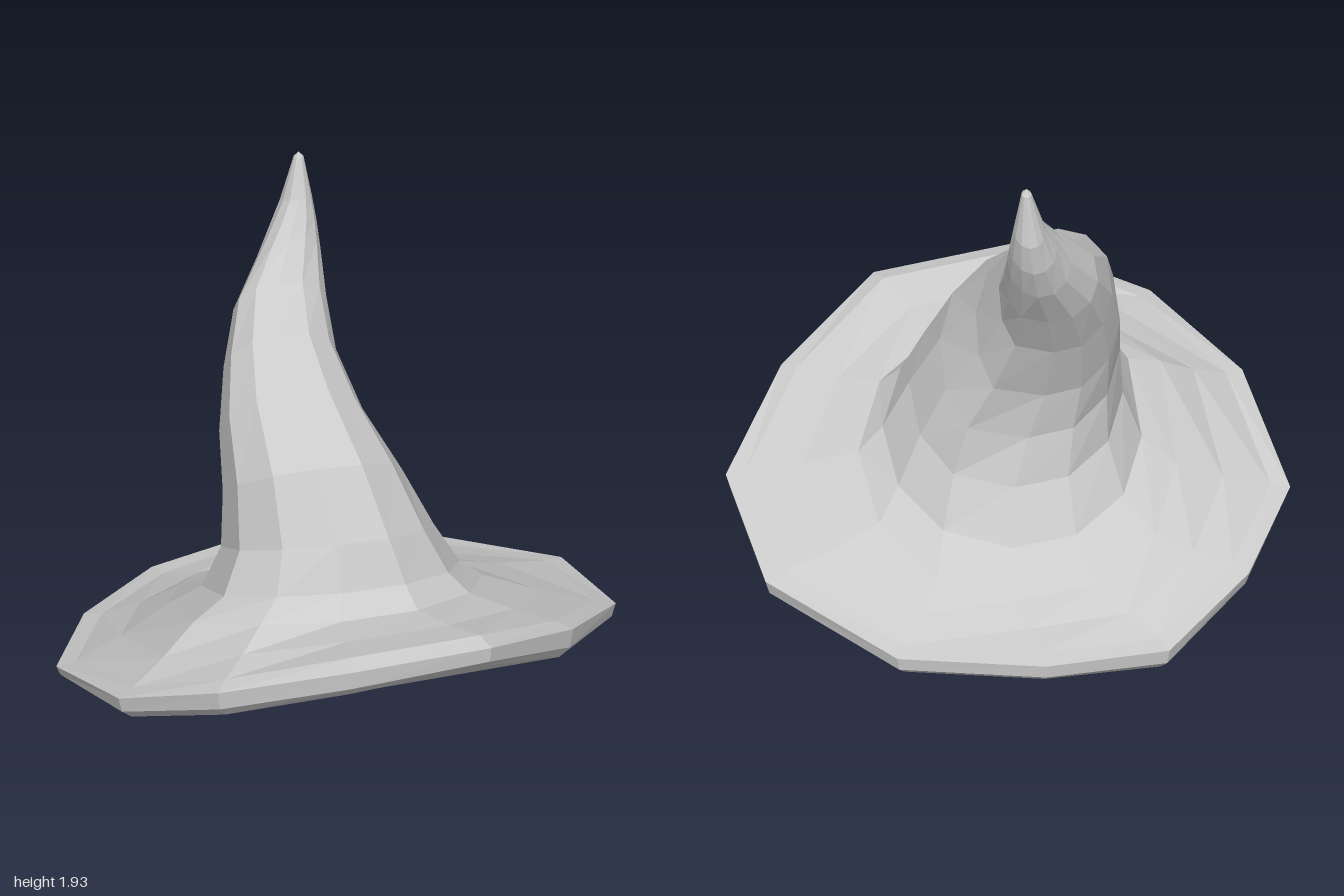
import * as THREE from 'three';

const SIDES = 12;

function makeMesh(name, points, index) {
  const geometry = new THREE.BufferGeometry().setFromPoints(points);
  geometry.setIndex(index);
  geometry.computeVertexNormals();
  const material = new THREE.MeshStandardMaterial({
    color: 0xcccccc, flatShading: true, side: THREE.DoubleSide,
  });
  const mesh = new THREE.Mesh(geometry, material);
  mesh.name = name;
  return mesh;
}

// Skin a stack of rings (each SIDES points), optionally closed by a tip point
function loft(name, rings, tip) {
  const points = rings.flat();
  const index = [];
  for (let j = 0; j < rings.length - 1; j++) {
    for (let i = 0; i < SIDES; i++) {
      const a = j * SIDES + i, b = j * SIDES + (i + 1) % SIDES;
      const c = a + SIDES, d = b + SIDES;
      index.push(a, c, b, b, c, d);
    }
  }
  if (tip) {
    const last = (rings.length - 1) * SIDES;
    points.push(tip);
    for (let i = 0; i < SIDES; i++) index.push(points.length - 1, last + (i + 1) % SIDES, last + i);
  }
  return makeMesh(name, points, index);
}

// Folds that push two corners of the crown outward, by ring position
const frontFold = { 4: new THREE.Vector3(-0.01, 0.04, 0.06), 5: new THREE.Vector3(-0.03, 0.06, 0.11) };
const backFold = { 10: new THREE.Vector3(0.06, 0, -0.03), 11: new THREE.Vector3(0.02, 0, -0.02) };

// Tilted oval ring from its front and back points (z, y), its right and left x and fold amounts
function crownRing([zF, yF, zB, yB, x0, x1, front, back]) {
  return Array.from({ length: SIDES }, (_, i) => {
    const t = THREE.MathUtils.degToRad(6 + i * 30);
    const s = Math.sin(t) / 2;
    const p = new THREE.Vector3(
      (x0 + x1) / 2 + Math.cos(t) * (x1 - x0) / 2,
      (yF + yB) / 2 + s * (yF - yB),
      (zF + zB) / 2 + s * (zF - zB),
    );
    if (frontFold[i]) p.addScaledVector(frontFold[i], front);
    if (backFold[i]) p.addScaledVector(backFold[i], back);
    return p;
  });
}

export function createModel() {
  const hat = new THREE.Group();
  hat.name = 'pointedHat';

  // Brim outline: x, z, underside y, edge y
  const outline = [
    [1, 0.11, 0.25, 0.34], [0.76, 0.52, 0.40, 0.53], [0.40, 0.83, 0.60, 0.70],
    [-0.13, 0.93, 0.61, 0.73], [-0.58, 0.77, 0.48, 0.60], [-0.88, 0.48, 0.33, 0.43],
    [-1, -0.03, 0.19, 0.25], [-0.81, -0.46, 0.10, 0.17], [-0.49, -0.82, 0, 0.09],
    [-0.04, -0.93, 0.04, 0.12], [0.48, -0.81, 0.03, 0.11], [0.91, -0.41, 0.13, 0.21],
  ];

  // Crown sections: front z, front y, back z, back y, right x, left x, front fold, back fold
  const crown = [
    [0.53, 0.68, -0.61, 0.20, -0.59, 0.54, 1, 0],
    [0.44, 0.74, -0.45, 0.32, -0.47, 0.45, 0.6, 0.2],
    [0.37, 0.90, -0.35, 0.51, -0.405, 0.355, 0.2, 0.5],
    [0.23, 1.14, -0.31, 0.69, -0.39, 0.25, 0.2, 1],
    [0.00, 1.33, -0.32, 0.87, -0.38, 0.135, 0.2, 1],
    [-0.16, 1.47, -0.40, 1.10, -0.34, 0.065, 0.2, 0.6],
    [-0.35, 1.56, -0.50, 1.29, -0.275, 0.06, 0.1, 0.3],
    [-0.45, 1.67, -0.60, 1.46, -0.17, 0.06, 0, 0],
    [-0.49, 1.725, -0.65, 1.59, -0.115, 0.055, 0, 0],
    [-0.53, 1.78, -0.667, 1.71, -0.07, 0.045, 0, 0],
    [-0.595, 1.915, -0.635, 1.905, -0.018, 0.018, 0, 0],
  ].map(crownRing);

  // Brim: underside, chamfer, outer edge, rolled lip, dip, then up to the crown base
  const under = outline.map(([x, z, y]) => new THREE.Vector3(x * 0.94, y, z * 0.95));
  const chamfer = outline.map(([x, z, y0, y1]) =>
    new THREE.Vector3(x * 0.985, y0 + 0.4 * (y1 - y0), z * 0.995));
  const edge = outline.map(([x, z, , y]) => new THREE.Vector3(x, y, z));
  const lip = outline.map(([x, z, , y]) => new THREE.Vector3(x * 0.93, y + 0.015, z * 0.92));
  const dip = lip.map((p, i) => {
    const q = p.clone().lerp(crown[0][i], 0.5);
    q.y -= 0.01;
    return q;
  });
  hat.add(loft('brim', [under, chamfer, edge, lip, dip, crown[0]]));

  // Underside: a strip zigzagging from the back corner to the front corner
  const order = [9, 8, 10, 7, 11, 6, 0, 5, 1, 4, 2, 3];
  const strip = [];
  for (let i = 0; i < order.length - 2; i++) {
    const [a, b, c] = order.slice(i, i + 3);
    strip.push(...(i % 2 ? [a, b, c] : [a, c, b]));
  }
  hat.add(makeMesh('underside', under, strip));

  // Crown bending back to a small tip
  hat.add(loft('crown', crown, new THREE.Vector3(0, 1.93, -0.615)));

  return hat;
}
